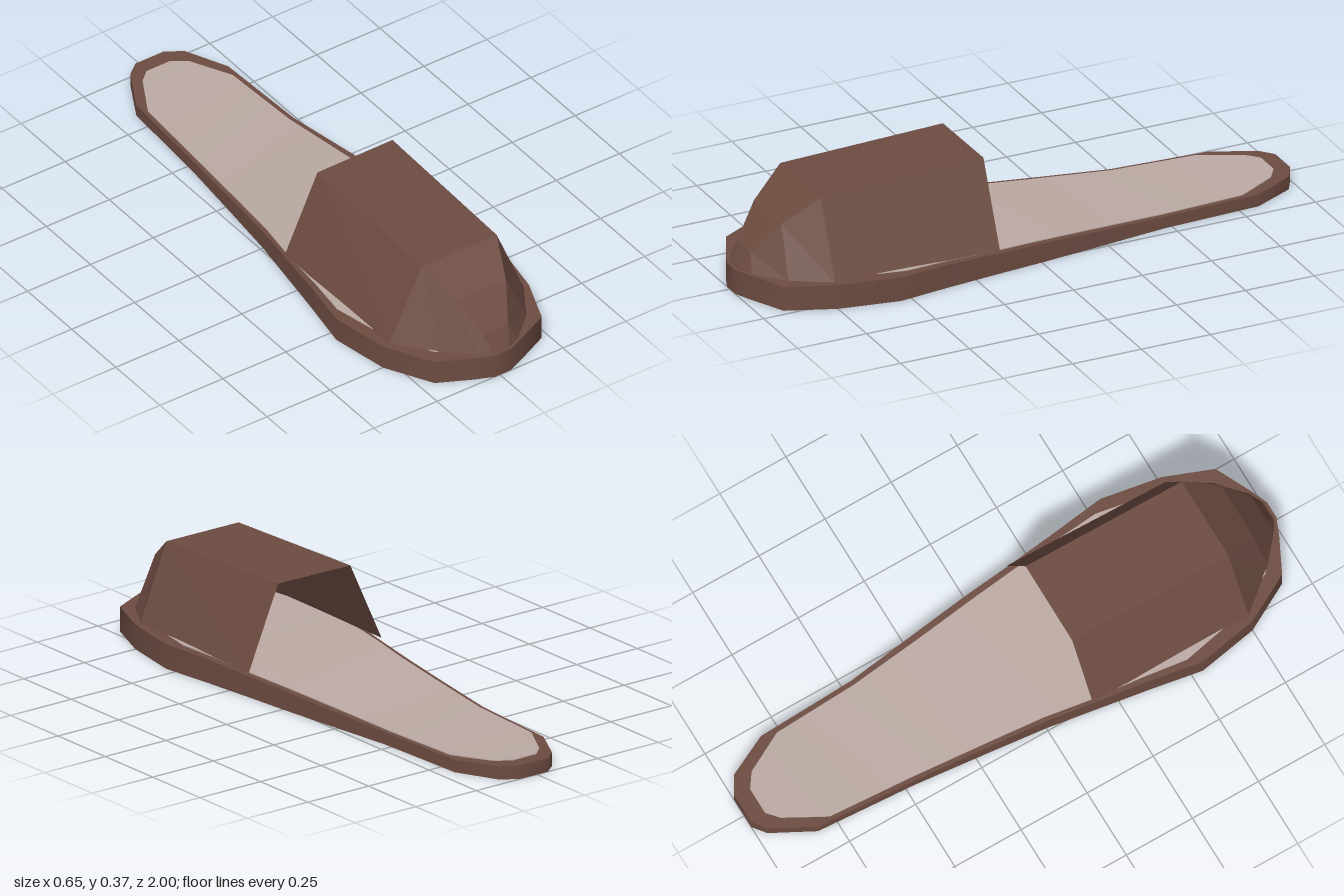
import * as THREE from 'three';
import { mergeGeometries } from 'three/addons/utils/BufferGeometryUtils.js';

// Sole and insole plans: rows of [z, right edge x, left edge x], heel to toe
const SOLE = [
  [-1, -0.045, 0.065], [-0.965, -0.09, 0.125], [-0.82, -0.168, 0.197], [-0.47, -0.19, 0.212],
  [-0.2, -0.218, 0.245], [0, -0.24, 0.268], [0.16, -0.265, 0.283], [0.35, -0.295, 0.303],
  [0.54, -0.328, 0.327], [0.75, -0.29, 0.29], [0.915, -0.2, 0.225], [0.975, -0.08, 0.1], [1, -0.02, 0.04],
];
const INSOLE = [
  [-0.945, -0.04, 0.055], [-0.91, -0.08, 0.105], [-0.77, -0.157, 0.18], [-0.47, -0.176, 0.195],
  [-0.2, -0.203, 0.222], [0, -0.225, 0.245], [0.16, -0.252, 0.262], [0.35, -0.275, 0.278],
  [0.5, -0.296, 0.29], [0.72, -0.25, 0.25], [0.87, -0.17, 0.19], [0.94, -0.06, 0.08],
];
// Height of the sole's top along z
const HEIGHTS = [[-1, 0.047], [-0.82, 0.042], [-0.47, 0.042], [-0.2, 0.056], [0, 0.067],
  [0.16, 0.073], [0.35, 0.082], [0.54, 0.085], [1, 0.086]];

function topAt(z) {
  const i = Math.max(1, HEIGHTS.findIndex(([hz]) => hz >= z));
  const [z0, y0] = HEIGHTS[i - 1], [z1, y1] = HEIGHTS[i];
  return y0 + (y1 - y0) * (z - z0) / (z1 - z0);
}

function indexed(points, index) {
  const g = new THREE.BufferGeometry();
  g.setAttribute('position', new THREE.Float32BufferAttribute(points.flat(), 3));
  g.setIndex(index);
  g.computeVertexNormals();
  return g;
}

// Flat-ended slab over a plan, with smooth walls and crisp rims
function slab(rows, top, bottom) {
  const cap = (height, up) => {
    const pts = rows.flatMap(([z, a, b]) => [[a, height(z), z], [b, height(z), z]]);
    const index = [];
    for (let i = 0; i < rows.length - 1; i++) {
      const l = 2 * i, r = l + 1, l2 = l + 2, r2 = l + 3;
      index.push(...(up ? [l, l2, r, r, l2, r2] : [l, r, l2, r, r2, l2]));
    }
    return indexed(pts, index);
  };
  const rim = [...rows.map(([z, a]) => [a, z]), ...rows.map(([z, , b]) => [b, z]).reverse()];
  const pts = rim.flatMap(([x, z]) => [[x, top(z), z], [x, bottom(z), z]]);
  const index = [];
  rim.forEach((_, i) => {
    const a = 2 * i, b = 2 * ((i + 1) % rim.length);
    index.push(a, a + 1, b, b, a + 1, b + 1);
  });
  return mergeGeometries([cap(top, true), cap(bottom, false), indexed(pts, index)]);
}

// Open shell lofted through four-point sections
function loft(sections) {
  const index = [], n = sections[0].length;
  for (let i = 0; i < sections.length - 1; i++) {
    for (let j = 0; j < n - 1; j++) {
      const a = i * n + j, b = a + 1, c = a + n, d = c + 1;
      index.push(a, c, b, b, c, d);
    }
  }
  const g = indexed(sections.flat(), index).toNonIndexed();
  g.computeVertexNormals();
  return g;
}

export function createModel() {
  const brown = new THREE.MeshStandardMaterial({ color: 0x6d4c41, side: THREE.DoubleSide });
  brown.name = 'brown';
  const beige = new THREE.MeshStandardMaterial({ color: 0xbcaaa4 });
  beige.name = 'beige';

  const group = new THREE.Group();
  group.name = 'slipper';
  const add = (name, geometry, material) => {
    const mesh = new THREE.Mesh(geometry, material);
    mesh.name = name;
    group.add(mesh);
  };

  add('sole', slab(SOLE, topAt, () => 0), brown);
  add('insole', slab(INSOLE, z => topAt(z) + 0.003, z => topAt(z) - 0.003), beige);

  // Faceted toe cover, open at the back
  const y = 0.084;
  add('upper', loft([
    [[-0.265, y, 0.16], [-0.136, 0.363, 0.16], [0.162, 0.366, 0.16], [0.283, y, 0.16]],
    [[-0.265, y, 0.75], [-0.136, 0.344, 0.75], [0.162, 0.345, 0.75], [0.27, y, 0.75]],
    [[-0.15, y, 0.89], [-0.087, 0.255, 0.87], [0.115, 0.255, 0.87], [0.19, y, 0.88]],
    [[-0.06, y, 0.967], [-0.036, 0.152, 0.955], [0.064, 0.152, 0.955], [0.095, y, 0.967]],
    [[-0.025, y, 0.988], [-0.02, 0.088, 0.988], [0.045, 0.088, 0.988], [0.05, y, 0.988]],
  ]), brown);
  return group;
}
